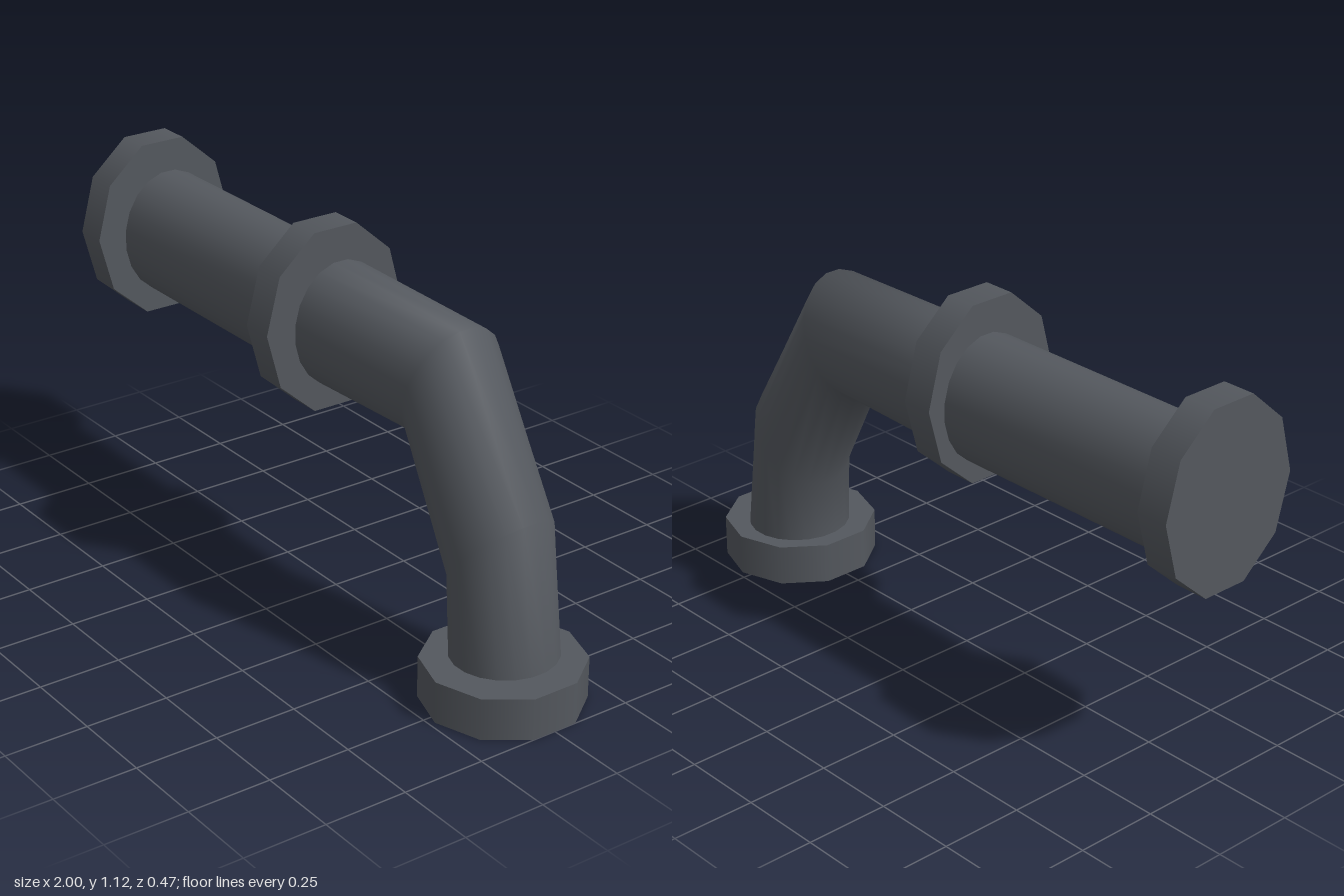
import * as THREE from 'three';

const material = new THREE.MeshStandardMaterial({ color: 0x54585e });

function addPart(group, name, geometry, x = 0, y = 0) {
  const mesh = new THREE.Mesh(geometry, material);
  mesh.name = name;
  mesh.position.set(x, y, 0);
  group.add(mesh);
}

// Pipe skinned over oval rings; each ring is [topX, topY, bottomX, bottomY]
function pipe(rings, zRadius = 0.159, zCentre = -0.018, sides = 20) {
  const positions = [], index = [];
  rings.forEach(([tx, ty, bx, by], i) => {
    for (let j = 0; j < sides; j++) {
      const t = ((j + 0.5) / sides) * Math.PI * 2;
      const k = Math.cos(t) / Math.cos(Math.PI / sides) / 2;
      positions.push(
        (tx + bx) / 2 + (tx - bx) * k,
        (ty + by) / 2 + (ty - by) * k,
        zCentre + zRadius * Math.sin(t));
      if (i < rings.length - 1) {
        const a = i * sides + j, b = i * sides + (j + 1) % sides;
        index.push(a, b, a + sides, b, b + sides, a + sides);
      }
    }
  });
  const geometry = new THREE.BufferGeometry();
  geometry.setAttribute('position', new THREE.Float32BufferAttribute(positions, 3));
  geometry.setIndex(index);
  geometry.computeVertexNormals();
  return geometry;
}

export function createModel() {
  const group = new THREE.Group();
  group.name = 'pipe';

  // Ten-sided flanges on the horizontal run, taller than wide
  const sideFlange = new THREE.CylinderGeometry(0.233, 0.233, 0.1, 10)
    .rotateZ(Math.PI / 2).scale(1, 0.284 / 0.233, 1);
  addPart(group, 'endFlange', sideFlange, -0.95, 0.853);
  addPart(group, 'middleFlange', sideFlange, -0.053, 0.853);

  // Flange at the foot
  const footFlange = new THREE.CylinderGeometry(0.233, 0.233, 0.125, 10);
  addPart(group, 'footFlange', footFlange, 0.778, 0.0625);

  // Straight run between the two side flanges
  addPart(group, 'straightPipe', pipe([
    [-0.95, 1.024, -0.95, 0.642],
    [-0.05, 1.024, -0.05, 0.642],
  ]));

  // Elbow bending down into the foot
  addPart(group, 'elbowPipe', pipe([
    [-0.05, 1.021, -0.05, 0.646],
    [0.565, 1.01, 0.435, 0.663],
    [0.85, 0.55, 0.61, 0.305],
    [0.912, 0.1, 0.61, 0.1],
  ], 0.157));

  return group;
}
